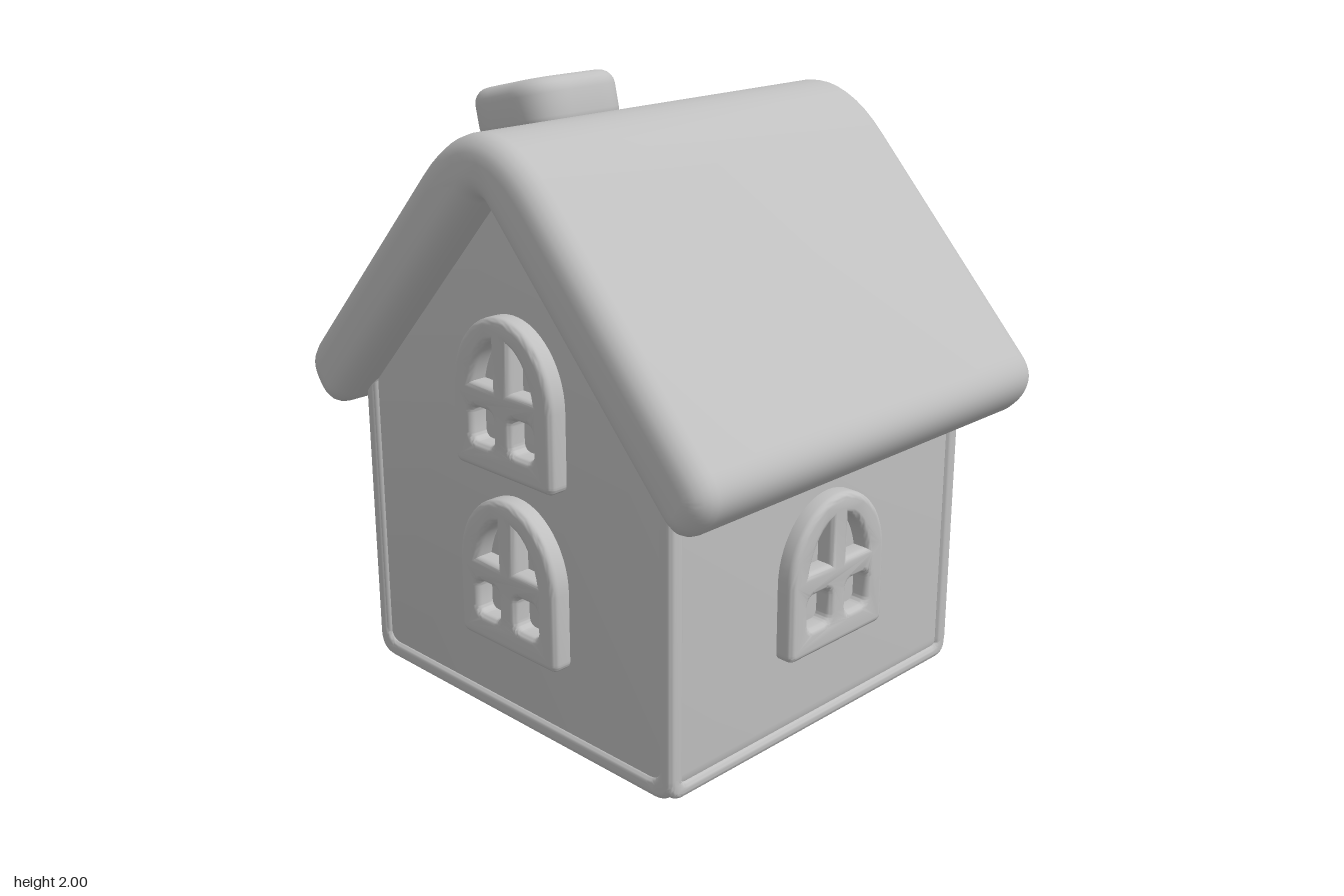
import * as THREE from 'three';
import { toCreasedNormals } from 'three/addons/utils/BufferGeometryUtils.js';
import { RoundedBoxGeometry } from 'three/addons/geometries/RoundedBoxGeometry.js';

const clay = new THREE.MeshStandardMaterial({ color: 0xc0c0c0 });
clay.name = 'clay grey';

// Polygon with softened corners; each point is [x, y, rounding distance]
function rounded(points, path = new THREE.Shape()) {
  const n = points.length;
  points.forEach((p, i) => {
    const c = new THREE.Vector2(p[0], p[1]);
    const toward = q => new THREE.Vector2(q[0], q[1]).sub(c).setLength(p[2]).add(c);
    const a = toward(points[(i + n - 1) % n]);
    const b = toward(points[(i + 1) % n]);
    if (i === 0) path.moveTo(a.x, a.y);
    else path.lineTo(a.x, a.y);
    path.quadraticCurveTo(c.x, c.y, b.x, b.y);
  });
  path.closePath();
  return path;
}

const rect = (x0, y0, x1, y1, r, path) =>
  rounded([[x0, y0, r], [x1, y0, r], [x1, y1, r], [x0, y1, r]], path);

// Extrusion from z = 0 to z = depth with a soft rim that stays inside the outline
function slab(name, shape, depth, bevel) {
  const geo = new THREE.ExtrudeGeometry(shape, {
    depth: depth - 2 * bevel, bevelThickness: bevel, bevelSize: bevel,
    bevelOffset: -bevel, bevelSegments: 5, curveSegments: 14,
  });
  geo.translate(0, 0, bevel);
  const mesh = new THREE.Mesh(toCreasedNormals(geo, 0.75), clay);
  mesh.name = name;
  return mesh;
}

// Arched four-pane window, facing +z, standing on y = 0
function windowFrame(name) {
  const half = 0.23, spring = 0.26;
  const shape = new THREE.Shape();
  shape.moveTo(-half + 0.03, 0);
  shape.lineTo(half - 0.03, 0);
  shape.quadraticCurveTo(half, 0, half, 0.03);
  shape.lineTo(half, spring);
  shape.absellipse(0, spring, half, 0.255, 0, Math.PI, false, 0);
  shape.lineTo(-half, 0.03);
  shape.quadraticCurveTo(-half, 0, -half + 0.03, 0);
  for (const s of [-1, 1]) {
    shape.holes.push(rect(s * 0.04, 0.09, s * 0.145, 0.205, 0.03, new THREE.Path()));
    const pane = new THREE.Path();
    pane.moveTo(s * 0.04, 0.285);
    pane.lineTo(s * 0.142, 0.285);
    pane.quadraticCurveTo(s * 0.115, 0.4, s * 0.04, 0.435);
    pane.closePath();
    shape.holes.push(pane);
  }
  return slab(name, shape, 0.08, 0.022);
}

// Door with surround, planks and heart knob, facing +z
function door() {
  const group = new THREE.Group();
  group.name = 'door';
  const surround = new THREE.Shape();
  surround.moveTo(0.26, 0.015);
  surround.lineTo(0.343, 0.015);
  surround.lineTo(0.343, 0.355);
  surround.absarc(0, 0.355, 0.343, 0, Math.PI, false);
  surround.lineTo(-0.343, 0.015);
  surround.lineTo(-0.26, 0.015);
  surround.lineTo(-0.26, 0.355);
  surround.absarc(0, 0.355, 0.26, Math.PI, 0, true);
  surround.closePath();
  group.add(slab('doorSurround', surround, 0.1, 0.03));

  const count = 5, r = 0.265, w = 2 * r / count;
  const topAt = x => 0.355 + Math.sqrt(Math.max(0, r * r - x * x));
  for (let i = 0; i < count; i++) {
    const x0 = -r + i * w;
    const plank = new THREE.Shape();
    plank.moveTo(x0, 0.02);
    plank.lineTo(x0 + w, 0.02);
    for (let k = 6; k >= 0; k--) plank.lineTo(x0 + w * k / 6, topAt(x0 + w * k / 6));
    plank.closePath();
    group.add(slab('doorPlank', plank, 0.065, 0.006));
  }

  const heart = new THREE.Shape();
  heart.moveTo(0, -0.05);
  heart.bezierCurveTo(0.03, -0.03, 0.055, -0.005, 0.052, 0.022);
  heart.bezierCurveTo(0.048, 0.055, 0.01, 0.058, 0, 0.028);
  heart.bezierCurveTo(-0.01, 0.058, -0.048, 0.055, -0.052, 0.022);
  heart.bezierCurveTo(-0.055, -0.005, -0.03, -0.03, 0, -0.05);
  const knob = slab('heartKnob', heart, 0.04, 0.01);
  knob.position.set(0.195, 0.265, 0.105);
  const stem = new THREE.Mesh(new THREE.CylinderGeometry(0.02, 0.02, 0.07, 16), clay);
  stem.name = 'knobStem';
  stem.rotation.x = Math.PI / 2;
  stem.position.set(0.195, 0.265, 0.085);
  group.add(knob, stem);
  return group;
}

export function createModel() {
  const model = new THREE.Group();
  model.name = 'cottage';
  const zMid = -0.025;
  const add = (obj, x, y, z, turn = 0) => {
    obj.position.set(x, y, z);
    obj.rotation.y = turn;
    model.add(obj);
  };
  const quarter = Math.PI / 2;

  // Wall core with gable ends
  const gable = (half, y0, eave, apex, r, path) => rounded(
    [[-half, y0, r], [half, y0, r], [half, eave, r], [0, apex, r], [-half, eave, r]], path);
  add(slab('walls', gable(0.72, 0.012, 1.1, 1.87, 0.07), 1.366, 0.01), -0.683, 0, zMid, quarter);

  // Raised rims around every wall
  for (const s of [-1, 1]) {
    const end = gable(0.73, 0, 1.12, 1.89, 0.08);
    end.holes.push(gable(0.675, 0.06, 1.04, 1.78, 0.05, new THREE.Path()));
    add(slab('gableRim', end, 0.06, 0.02), s * 0.637, 0, zMid, s * quarter);

    const side = rect(-0.695, 0.005, 0.695, 1.1, 0.06);
    side.holes.push(rect(-0.645, 0.055, 0.645, 1.04, 0.03, new THREE.Path()));
    add(slab('wallRim', side, 0.06, 0.02), 0, 0, zMid + s * 0.67, s > 0 ? 0 : Math.PI);
  }

  // Thick, soft roof
  const roof = slab('roof', rounded([
    [0, 2.105, 0.4], [-0.965, 1.07, 0.11], [-0.82, 0.897, 0.11],
    [0, 1.78, 0.05], [0.82, 0.897, 0.11], [0.965, 1.07, 0.11],
  ]), 1.62, 0.075);
  add(roof, -0.81, 0, 0, quarter);

  // Windows on all four sides
  add(windowFrame('frontWindow'), 0.015, 0.31, 0.675);
  add(windowFrame('backWindow'), 0.015, 0.31, -0.715, Math.PI);
  add(windowFrame('rightUpperWindow'), 0.665, 0.885, -0.025, quarter);
  add(windowFrame('leftUpperWindow'), -0.668, 0.885, 0.02, -quarter);
  add(windowFrame('leftLowerWindow'), -0.668, 0.29, 0.02, -quarter);

  add(door(), 0.665, 0, -0.02, quarter);

  // Leaning chimney
  const shaft = new THREE.Mesh(new RoundedBoxGeometry(0.33, 0.62, 0.32, 5, 0.09), clay);
  shaft.name = 'chimneyShaft';
  add(shaft, 0.07, 1.51, -0.54);
  shaft.rotation.x = -0.38;

  const capShape = rect(-0.215, -0.21, 0.215, 0.21, 0.15);
  capShape.holes.push(new THREE.Path().absarc(0, 0, 0.07, 0, Math.PI * 2));
  const cap = slab('chimneyCap', capShape, 0.19, 0.055);
  cap.geometry.translate(0, 0, -0.095);
  cap.geometry.rotateX(-quarter);
  add(cap, 0.075, 1.868, -0.667);
  cap.rotation.x = -0.23;

  return model;
}
